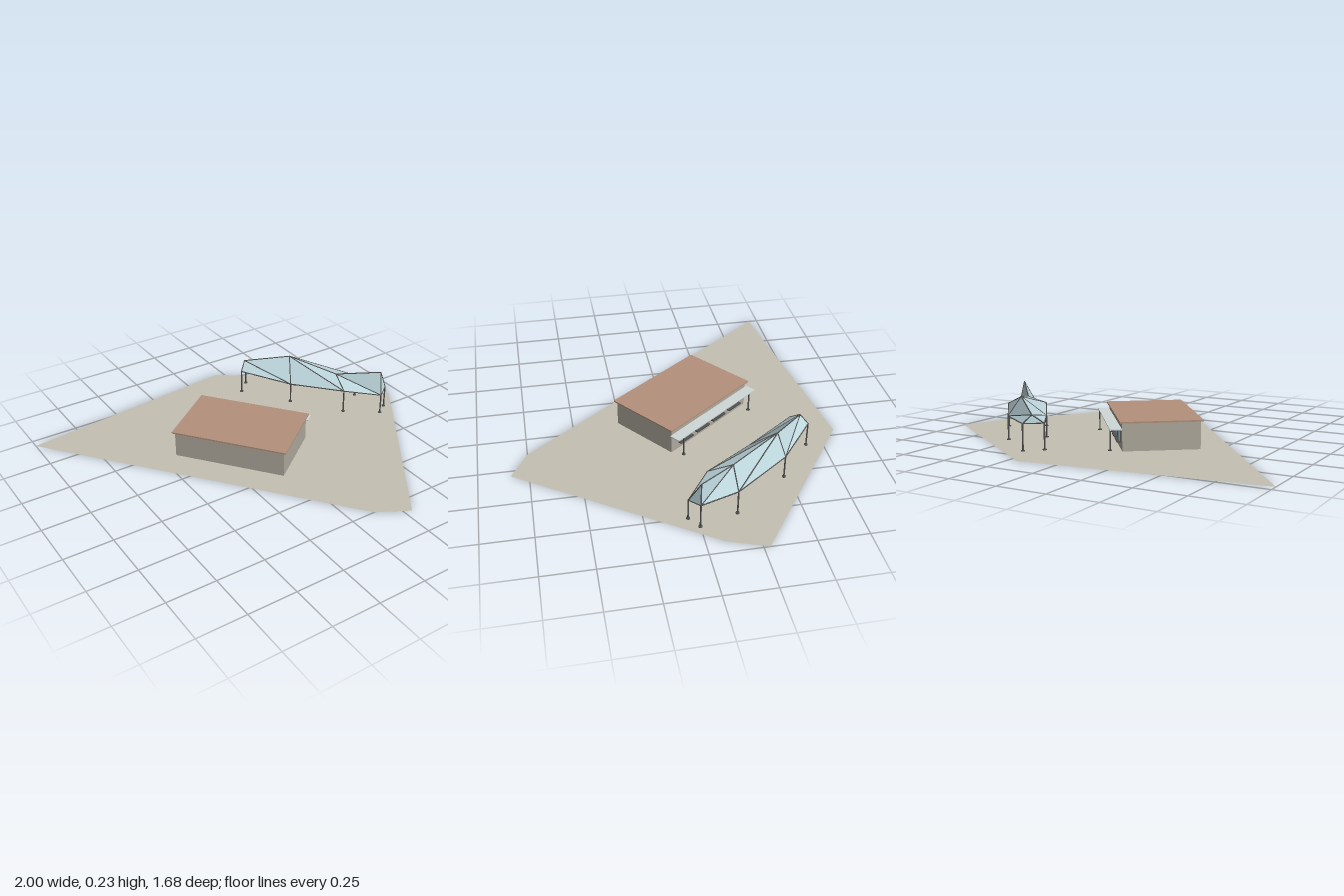
import * as THREE from 'three';

const mat = (color, extra = {}) => new THREE.MeshStandardMaterial({ color, ...extra });
const ds = { side: THREE.DoubleSide };
const groundMat = mat(0xc4c0b2, ds);
const wallMat = mat(0xb0aa9e);
const roofMat = mat(0xb4917c);
const glassMat = mat(0x9dbcc4);
const awningMat = mat(0xd0d8d8);
const canopyMat = mat(0xbcd6dc, { ...ds, flatShading: true });
const metalMat = mat(0x505050);

function add(parent, name, geometry, material, x = 0, y = 0, z = 0) {
  const mesh = new THREE.Mesh(geometry, material);
  mesh.name = name;
  mesh.position.set(x, y, z);
  parent.add(mesh);
  return mesh;
}

const box = (w, h, d) => new THREE.BoxGeometry(w, h, d);

// Straight round bar between two points
function bar(parent, name, a, b, r) {
  const dir = b.clone().sub(a);
  const mesh = add(parent, name, new THREE.CylinderGeometry(r, r, dir.length(), 6), metalMat);
  mesh.position.copy(a).add(b).multiplyScalar(0.5);
  mesh.quaternion.setFromUnitVectors(new THREE.Vector3(0, 1, 0), dir.normalize());
}

// Post with a small foot plate
function post(parent, name, x, z, top) {
  bar(parent, name, new THREE.Vector3(x, 0, z), new THREE.Vector3(x, top, z), 0.004);
  add(parent, name + 'Foot', new THREE.CylinderGeometry(0.01, 0.01, 0.005, 8), metalMat, x, 0.0025, z);
}

function createGround() {
  const outline = [[-1, -0.7], [0.13, 0.75], [0.29, 0.84], [0.93, -0.09], [1, -0.28], [0.205, -0.845]];
  const shape = new THREE.Shape(outline.map(([x, z]) => new THREE.Vector2(x, -z)));
  const geometry = new THREE.ShapeGeometry(shape);
  geometry.rotateX(-Math.PI / 2);
  const ground = new THREE.Mesh(geometry, groundMat);
  ground.name = 'ground';
  return ground;
}

// Flat-roofed hall with a row of windows under an awning on its +x side
function createBuilding() {
  const g = new THREE.Group();
  g.name = 'building';
  add(g, 'walls', box(0.382, 0.138, 0.592), wallMat, 0, 0.07, 0);
  add(g, 'roof', box(0.406, 0.008, 0.617), roofMat, 0, 0.143, 0);
  add(g, 'awning', box(0.058, 0.005, 0.617), awningMat, 0.222, 0.109, 0);
  for (const z of [-0.265, 0.265]) post(g, 'awningPost', 0.246, z, 0.107);
  for (let i = 0; i < 4; i++) {
    const z = (i - 1.5) * 0.13;
    add(g, 'windowFrame', box(0.006, 0.056, 0.086), metalMat, 0.191, 0.061, z);
    add(g, 'windowPane', box(0.008, 0.048, 0.078), glassMat, 0.192, 0.061, z);
    add(g, 'counter', box(0.022, 0.006, 0.098), metalMat, 0.2, 0.038, z);
  }
  g.position.set(-0.0875, 0, -0.09);
  g.rotation.y = 0.656;
  return g;
}

// Faceted canopy: two eaves joined to a ridge that rises and dips
function createCanopy() {
  const g = new THREE.Group();
  g.name = 'canopy';
  const points = (list) => list.map((p) => new THREE.Vector3(...p));
  const left = points([[0.23, 0.132, -0.59], [0.4, 0.114, -0.335], [0.585, 0.13, -0.08], [0.75, 0.111, 0.045]]);
  const ridge = points([[0.275, 0.174, -0.627], [0.47, 0.223, -0.45], [0.615, 0.177, -0.197], [0.783, 0.223, -0.008]]);
  const right = points([[0.305, 0.134, -0.663], [0.535, 0.122, -0.478], [0.755, 0.128, -0.19], [0.815, 0.126, 0]]);

  const faces = [right[0], left[0], ridge[0], left[3], right[3], ridge[3]];
  const edges = [[left[0], right[0]], [left[3], right[3]]];
  for (let i = 0; i < 4; i++) {
    edges.push([left[i], ridge[i]], [right[i], ridge[i]]);
    if (i === 3) continue;
    for (const row of [left, ridge, right]) edges.push([row[i], row[i + 1]]);
    // The diagonal starts on the ridge and runs down to the next eave corner
    edges.push([ridge[i], left[i + 1]], [ridge[i], right[i + 1]]);
    faces.push(left[i], left[i + 1], ridge[i], ridge[i], left[i + 1], ridge[i + 1]);
    faces.push(right[i + 1], right[i], ridge[i], right[i + 1], ridge[i], ridge[i + 1]);
  }
  const geometry = new THREE.BufferGeometry().setFromPoints(faces);
  geometry.computeVertexNormals();
  add(g, 'canopySkin', geometry, canopyMat);
  for (const [a, b] of edges) bar(g, 'canopyRib', a, b, 0.003);
  for (const p of [...left, ...right]) post(g, 'canopyPost', p.x, p.z, p.y);
  return g;
}

export function createModel() {
  const model = new THREE.Group();
  model.name = 'pavilionSite';
  model.add(createGround(), createBuilding(), createCanopy());
  return model;
}
